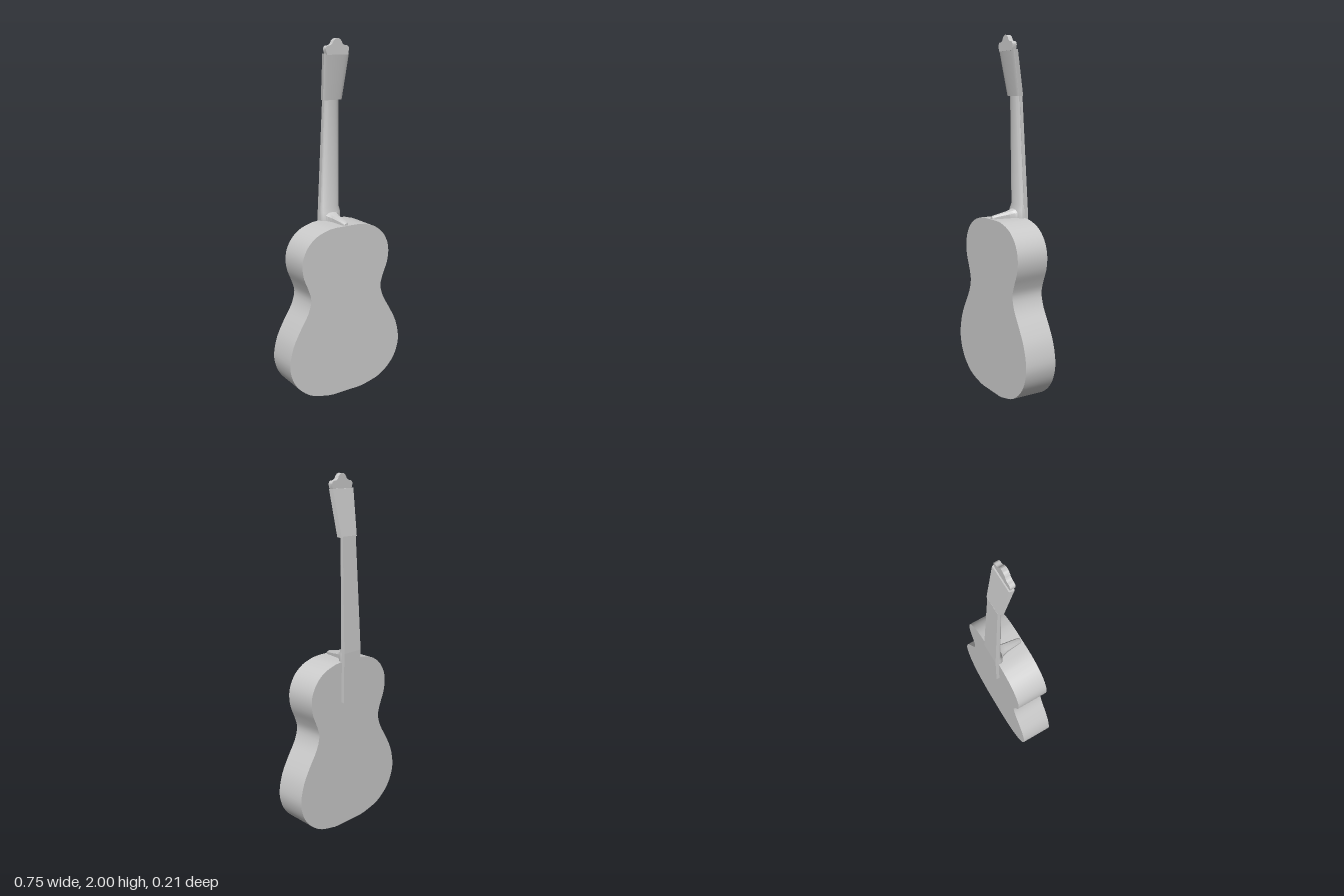
import * as THREE from 'three';
import { toCreasedNormals } from 'three/addons/utils/BufferGeometryUtils.js';

const material = new THREE.MeshStandardMaterial({ color: 0xcccccc });

function addMesh(group, name, geometry, crease = 0.6) {
  const mesh = new THREE.Mesh(toCreasedNormals(geometry, crease), material);
  mesh.name = name;
  group.add(mesh);
}

// Skin a list of convex rings (arrays of [x, y, z]) and cap both ends
function loft(rings) {
  const n = rings[0].length, tris = [];
  for (let s = 0; s < rings.length - 1; s++) {
    for (let i = 0; i < n; i++) {
      const j = (i + 1) % n;
      const a = rings[s][i], b = rings[s][j], c = rings[s + 1][j], d = rings[s + 1][i];
      tris.push([a, b, c], [a, c, d]);
    }
  }
  const last = rings[rings.length - 1];
  for (let i = 1; i < n - 1; i++) {
    tris.push([rings[0][0], rings[0][i + 1], rings[0][i]], [last[0], last[i], last[i + 1]]);
  }
  // A negative enclosed volume means the faces point inwards
  const v = (p) => new THREE.Vector3(...p);
  let volume = 0;
  for (const [a, b, c] of tris) volume += v(a).dot(v(b).cross(v(c)));
  if (volume < 0) tris.forEach((t) => t.reverse());
  const geometry = new THREE.BufferGeometry();
  geometry.setAttribute('position', new THREE.Float32BufferAttribute(tris.flat(2), 3));
  return geometry;
}

// Level cross-section: straight front, straight edge, then a rounded back
function dSection(y, w, front, edge, back, wBack = w) {
  const ring = [[-w, y, front], [w, y, front]];
  for (let i = 0; i <= 12; i++) {
    const a = (i / 12) * Math.PI;
    ring.push([Math.cos(a) * wBack, y, edge + Math.sin(a) * (back - edge)]);
  }
  return ring;
}

const slab = (y, w, front, back) => [[-w, y, front], [w, y, front], [w, y, back], [-w, y, back]];

// Heel cross-section: arched top over a flat underside
function heelSection(z, w, top) {
  const ring = [[-w, 0.998, z], [w, 0.998, z]];
  for (const [fx, fy] of [[1, 0.6], [0.65, 0.92], [0, 1], [-0.65, 0.92], [-1, 0.6]]) {
    ring.push([w * fx, 0.998 + (top - 0.998) * fy, z]);
  }
  return ring;
}

export function createModel() {
  const group = new THREE.Group();
  group.name = 'guitar';

  // Waisted body: half outline from bottom to top, then mirrored
  const half = [
    [0.12, 0.003], [0.22, 0.028], [0.285, 0.067], [0.335, 0.12], [0.365, 0.185],
    [0.374, 0.26], [0.351, 0.36], [0.305, 0.45], [0.255, 0.535], [0.235, 0.61],
    [0.252, 0.675], [0.278, 0.74], [0.288, 0.805], [0.278, 0.867], [0.243, 0.927],
    [0.185, 0.972], [0.11, 0.996],
  ].map(([x, y]) => new THREE.Vector2(x, y));
  const side = new THREE.SplineCurve(half).getPoints(48);
  const outline = [
    new THREE.Vector2(0.09, 0), ...side, new THREE.Vector2(0.07, 1),
  ];
  const mirrored = outline.map((p) => new THREE.Vector2(-p.x, p.y)).reverse();
  const body = new THREE.ExtrudeGeometry(new THREE.Shape([...outline, ...mirrored]), {
    depth: 0.187, bevelEnabled: false,
  });
  body.translate(0, 0, -0.085);
  addMesh(group, 'body', body);

  // Fingerboard lies on the body and leans back along the neck
  addMesh(group, 'fingerboard', loft([
    slab(0.765, 0.067, -0.104, -0.08),
    slab(1.05, 0.063, -0.104, -0.08),
    slab(1.68, 0.048, -0.075, -0.058),
  ]), 0.03);

  // Rounded neck, flaring into its base
  addMesh(group, 'neck', loft([
    dSection(0.998, 0.065, -0.086, -0.07, -0.042),
    dSection(1.045, 0.064, -0.086, -0.07, -0.044),
    dSection(1.075, 0.059, -0.086, -0.078, -0.054),
    dSection(1.68, 0.045, -0.064, -0.058, -0.04),
  ]));

  // Heel tapering over the top of the body
  addMesh(group, 'heel', loft([
    heelSection(-0.065, 0.05, 1.06),
    heelSection(-0.04, 0.036, 1.046),
    heelSection(-0.01, 0.026, 1.038),
    heelSection(0.085, 0.016, 1.018),
    heelSection(0.094, 0.01, 1.012),
  ]));

  // Tilted headstock, widening upwards
  addMesh(group, 'headstock', loft([
    dSection(1.675, 0.056, -0.075, -0.046, -0.037, 0.06),
    dSection(1.922, 0.074, -0.029, -0.004, 0.004, 0.079),
  ]));

  // Scalloped crest on the headstock
  const crest = new THREE.Shape();
  crest.moveTo(-0.066, 1.915);
  crest.lineTo(0.066, 1.915);
  crest.lineTo(0.074, 1.945);
  crest.quadraticCurveTo(0.07, 1.965, 0.05, 1.963);
  crest.quadraticCurveTo(0.032, 1.966, 0.026, 1.985);
  crest.quadraticCurveTo(0.014, 2, 0, 2);
  crest.quadraticCurveTo(-0.014, 2, -0.026, 1.985);
  crest.quadraticCurveTo(-0.032, 1.966, -0.05, 1.963);
  crest.quadraticCurveTo(-0.07, 1.965, -0.074, 1.945);
  const crestGeometry = new THREE.ExtrudeGeometry(crest, {
    depth: 0.027, bevelEnabled: false, curveSegments: 6,
  });
  crestGeometry.translate(0, 0, -0.022);
  addMesh(group, 'headstockCrest', crestGeometry);

  return group;
}
